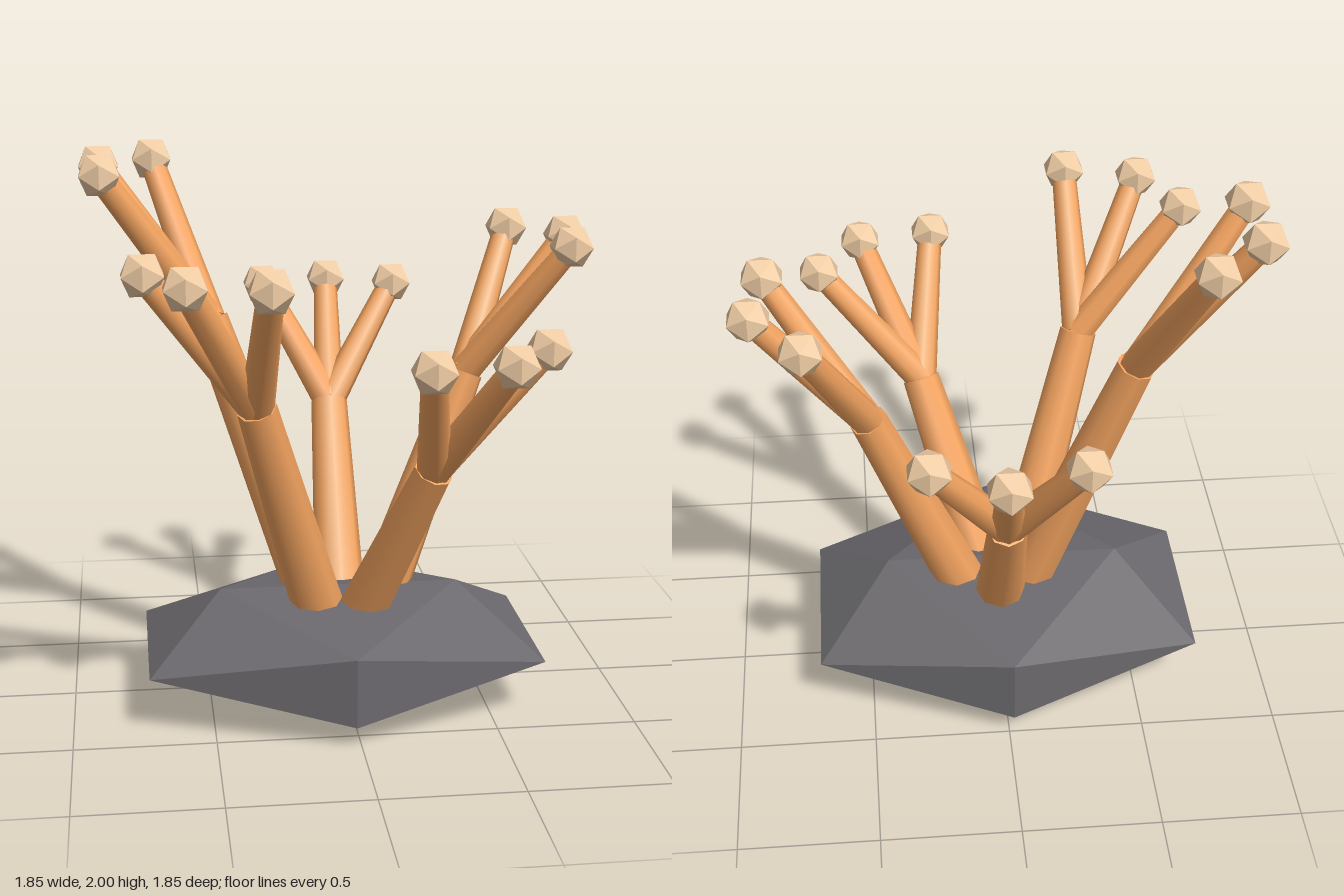
import * as THREE from 'three';

const coral = new THREE.MeshStandardMaterial({ color: 0xf4a460 });
const bud = new THREE.MeshStandardMaterial({ color: 0xf0cda5, flatShading: true });
const stone = new THREE.MeshStandardMaterial({ color: 0x6b696d, flatShading: true });

const UP = new THREE.Vector3(0, 1, 0);

// Tapered limb running from one point to another
function limb(name, from, to, r0, r1) {
  const dir = to.clone().sub(from);
  const mesh = new THREE.Mesh(new THREE.CylinderGeometry(r1, r0, dir.length(), 8), coral);
  mesh.position.copy(from).addScaledVector(dir, 0.5);
  mesh.quaternion.setFromUnitVectors(UP, dir.normalize());
  mesh.name = name;
  return mesh;
}

// Each branch: root, fork, height of the tips and their [x, z]
const branches = [
  { name: 'backBranch', root: [0, 0.2, 0], fork: [0.01, 0.97, -0.5], tipY: 1.395,
    tips: [[-0.23, -0.76], [0.035, -0.855], [0.285, -0.735]] },
  { name: 'leftBranch', root: [0.09, 0.2, 0.02], fork: [0.47, 1.17, -0.1], tipY: 1.66,
    tips: [[0.68, -0.41], [0.855, -0.185], [0.815, 0.09]] },
  { name: 'frontLeftBranch', root: [0.01, 0.2, 0.08], fork: [0.26, 0.96, 0.48], tipY: 1.395,
    tips: [[0.63, 0.57], [0.47, 0.805], [0.195, 0.85]] },
  { name: 'frontRightBranch', root: [-0.06, 0.2, 0.09], fork: [-0.34, 1.18, 0.42], tipY: 1.66,
    tips: [[-0.32, 0.82], [-0.585, 0.74], [-0.715, 0.485]] },
  { name: 'rightBranch', root: [-0.06, 0.2, 0.01], fork: [-0.47, 1.38, -0.15], tipY: 1.928,
    tips: [[-0.85, 0], [-0.855, -0.285], [-0.66, -0.485]] },
];

export function createModel() {
  const model = new THREE.Group();
  model.name = 'coral';

  // Flattened faceted rock
  const rock = new THREE.Mesh(new THREE.IcosahedronGeometry(1, 0), stone);
  rock.scale.set(0.835, 0.239, 0.658);
  rock.position.set(-0.018, 0.2035, 0.05);
  rock.name = 'rock';
  model.add(rock);

  for (const { name, root, fork, tipY, tips } of branches) {
    const branch = new THREE.Group();
    branch.name = name;
    const start = new THREE.Vector3(...root);
    const split = new THREE.Vector3(...fork);
    branch.add(limb('stem', start, split, 0.1, 0.07));

    // Three twigs, each ending in a faceted bud
    for (const [x, z] of tips) {
      const end = new THREE.Vector3(x, tipY, z);
      branch.add(limb('twig', split, end, 0.06, 0.045));
      const tip = new THREE.Mesh(new THREE.IcosahedronGeometry(0.083, 0), bud);
      tip.position.copy(end);
      tip.name = 'bud';
      branch.add(tip);
    }
    model.add(branch);
  }
  return model;
}
